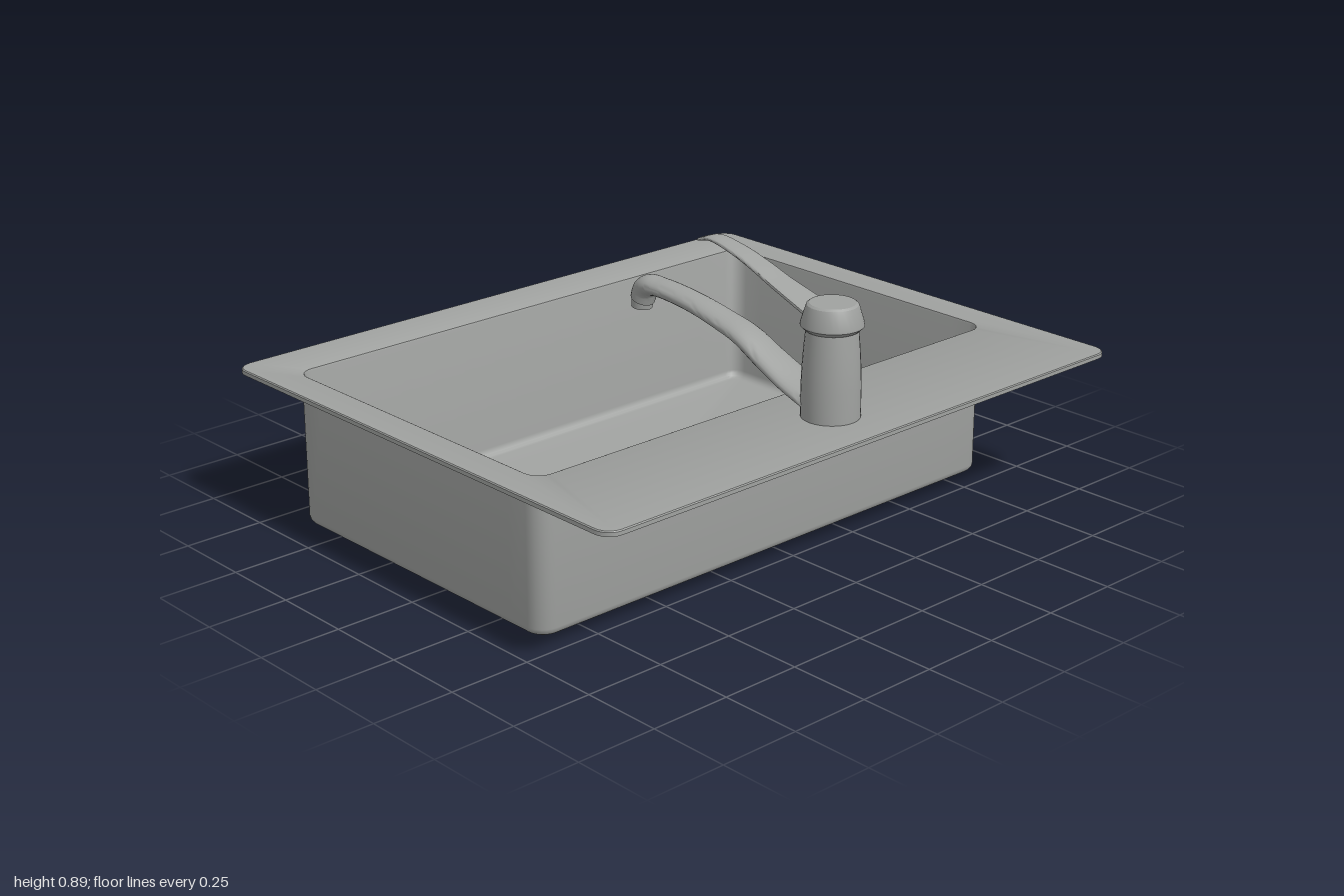
import * as THREE from 'three';
import { toCreasedNormals } from 'three/addons/utils/BufferGeometryUtils.js';

const steel = new THREE.MeshStandardMaterial({ color: 0xa0a2a0 });
steel.name = 'brushed steel';

// Skin over a list of rings with equal point counts; collapsed rings close the ends
function loft(rings, crease = 0.55) {
  const pos = [];
  const tri = (a, b, c) => {
    if (a.distanceTo(b) < 1e-6 || b.distanceTo(c) < 1e-6 || a.distanceTo(c) < 1e-6) return;
    for (const p of [a, b, c]) pos.push(p.x, p.y, p.z);
  };
  for (let i = 0; i < rings.length - 1; i++) {
    const r = rings[i], s = rings[i + 1], n = r.length;
    for (let j = 0; j < n; j++) {
      const k = (j + 1) % n;
      tri(r[j], s[j], r[k]);
      tri(r[k], s[j], s[k]);
    }
  }
  const g = new THREE.BufferGeometry();
  g.setAttribute('position', new THREE.Float32BufferAttribute(pos, 3));
  return toCreasedNormals(g, crease);
}

// Rounded rectangle at height y, with extra points along each side
function rectRing(x0, x1, hz, r, y) {
  const pts = [];
  const corners = [[x1 - r, hz - r], [x0 + r, hz - r], [x0 + r, -hz + r], [x1 - r, -hz + r]];
  corners.forEach(([cx, cz], q) => {
    for (let i = 0; i <= 6; i++) {
      const a = (q + i / 6) * Math.PI / 2;
      pts.push(new THREE.Vector3(cx + r * Math.cos(a), y, cz + r * Math.sin(a)));
    }
    const [nx, nz] = corners[(q + 1) % 4];
    const a = (q + 1) * Math.PI / 2;
    const from = pts[pts.length - 1];
    const to = new THREE.Vector3(nx + r * Math.cos(a), y, nz + r * Math.sin(a));
    for (let i = 1; i < 14; i++) pts.push(from.clone().lerp(to, i / 14));
  });
  return pts;
}

// Tapered oval arm in the xy plane; each section is [x, y, half height, half width]
function arm(sections, steps, sides, square = 1) {
  const curve = new THREE.CatmullRomCurve3(sections.map(s => new THREE.Vector3(s[0], s[1], 0)), false, 'centripetal');
  const rings = [];
  for (let i = 0; i <= steps; i++) {
    const t = i / steps, f = t * (sections.length - 1);
    const k = Math.min(Math.floor(f), sections.length - 2);
    const h = THREE.MathUtils.lerp(sections[k][2], sections[k + 1][2], f - k);
    const w = THREE.MathUtils.lerp(sections[k][3], sections[k + 1][3], f - k);
    const c = curve.getPoint(t), T = curve.getTangent(t);
    const ring = [];
    for (let j = 0; j < sides; j++) {
      const a = j / sides * Math.PI * 2;
      const u = Math.sign(Math.cos(a)) * Math.abs(Math.cos(a)) ** square * h;
      const v = Math.sign(Math.sin(a)) * Math.abs(Math.sin(a)) ** square * w;
      ring.push(new THREE.Vector3(c.x + T.y * u, c.y - T.x * u, v));
    }
    if (i === 0) rings.push(ring.map(() => c.clone()));
    rings.push(ring);
    if (i === steps) rings.push(ring.map(() => c.clone()));
  }
  return loft(rings, 0.8);
}

export function createModel() {
  const model = new THREE.Group();
  const add = (name, geometry, parent = model) => {
    const m = new THREE.Mesh(geometry, steel);
    m.name = name;
    parent.add(m);
    return m;
  };

  // Sink: outer basin, rim and inner basin down to the drain, in one skin
  const drainX = -0.13;
  const outer = (inset, y) => rectRing(-0.675 + inset, 0.435 - inset, 0.897 - inset, 0.055 - inset * 0.5, y);
  const inner = (inset, y) => rectRing(-0.665 + inset, 0.425 - inset, 0.892 - inset, 0.05 - inset * 0.5, y);
  const fillet = (fn, r, base, t) => fn(r * (1 - Math.cos(t)), base + r * (1 - Math.sin(t)));
  const angles = [0, 1, 2, 3, 4].map(i => i * Math.PI / 8);

  const rings = [];
  for (const t of [...angles].reverse()) rings.push(fillet(outer, 0.025, 0, t));
  rings.unshift(rings[0].map(() => new THREE.Vector3(-0.12, 0, 0)));
  rings.push(outer(0, 0.405));
  rings.push(rectRing(-0.83, 0.83, 1, 0.05, 0.46));
  rings.push(rectRing(-0.83, 0.83, 1, 0.05, 0.472));
  rings.push(rectRing(-0.827, 0.827, 0.997, 0.048, 0.475));
  rings.push(inner(-0.006, 0.475), inner(-0.002, 0.473), inner(0, 0.467));
  for (const t of angles) rings.push(fillet((i, y) => inner(i + 0.008, y), 0.025, 0.022, t));
  const floor = rings[rings.length - 1];
  const circle = (r, y) => floor.map(p => {
    const a = Math.atan2(p.z, p.x - drainX);
    return new THREE.Vector3(drainX + r * Math.cos(a), y, r * Math.sin(a));
  });
  rings.push(circle(0.145, 0.022), circle(0.1, 0.018), circle(0.058, 0.012), circle(0.052, 0.004), circle(0, 0.004));
  add('sink', loft(rings));

  // Drain strainer
  const strainer = add('drainStrainer', toCreasedNormals(new THREE.LatheGeometry(
    [[0.036, 0.004], [0.034, 0.01], [0.022, 0.012], [0, 0.012]].map(p => new THREE.Vector2(...p)), 28), 0.6));
  strainer.position.x = drainX;

  // Tap
  const tap = new THREE.Group();
  tap.name = 'tap';
  model.add(tap);

  const lathe = (name, pts) => {
    const m = add(name, toCreasedNormals(new THREE.LatheGeometry(pts.map(p => new THREE.Vector2(...p)), 32), 0.5), tap);
    m.position.x = 0.635;
  };
  lathe('tapBody', [[0.085, 0.47], [0.085, 0.565], [0.083, 0.62], [0.079, 0.68], [0.074, 0.735]]);
  lathe('tapCap', [[0.072, 0.73], [0.078, 0.732], [0.09, 0.744], [0.09, 0.75], [0.076, 0.796],
    [0.073, 0.804], [0.066, 0.809], [0, 0.81]]);

  add('spout', arm([
    [-0.146, 0.628, 0.037, 0.038], [-0.133, 0.66, 0.038, 0.04], [-0.112, 0.676, 0.034, 0.043],
    [-0.07, 0.681, 0.027, 0.045], [0, 0.679, 0.026, 0.045], [0.1, 0.668, 0.026, 0.046],
    [0.2, 0.649, 0.026, 0.05], [0.295, 0.626, 0.027, 0.054], [0.4, 0.578, 0.027, 0.06],
    [0.5, 0.537, 0.025, 0.067], [0.61, 0.505, 0.024, 0.075]], 50, 24), tap);

  const nozzle = add('nozzle', new THREE.CylinderGeometry(0.034, 0.032, 0.04, 28), tap);
  nozzle.position.set(-0.148, 0.622, 0);
  nozzle.rotation.z = -0.12;

  add('lever', arm([
    [0.118, 0.876, 0.005, 0.026], [0.165, 0.888, 0.007, 0.028], [0.27, 0.871, 0.008, 0.034],
    [0.35, 0.847, 0.008, 0.038], [0.43, 0.818, 0.008, 0.043], [0.51, 0.793, 0.008, 0.05],
    [0.59, 0.768, 0.008, 0.056]], 30, 20, 0.6), tap);

  return model;
}
